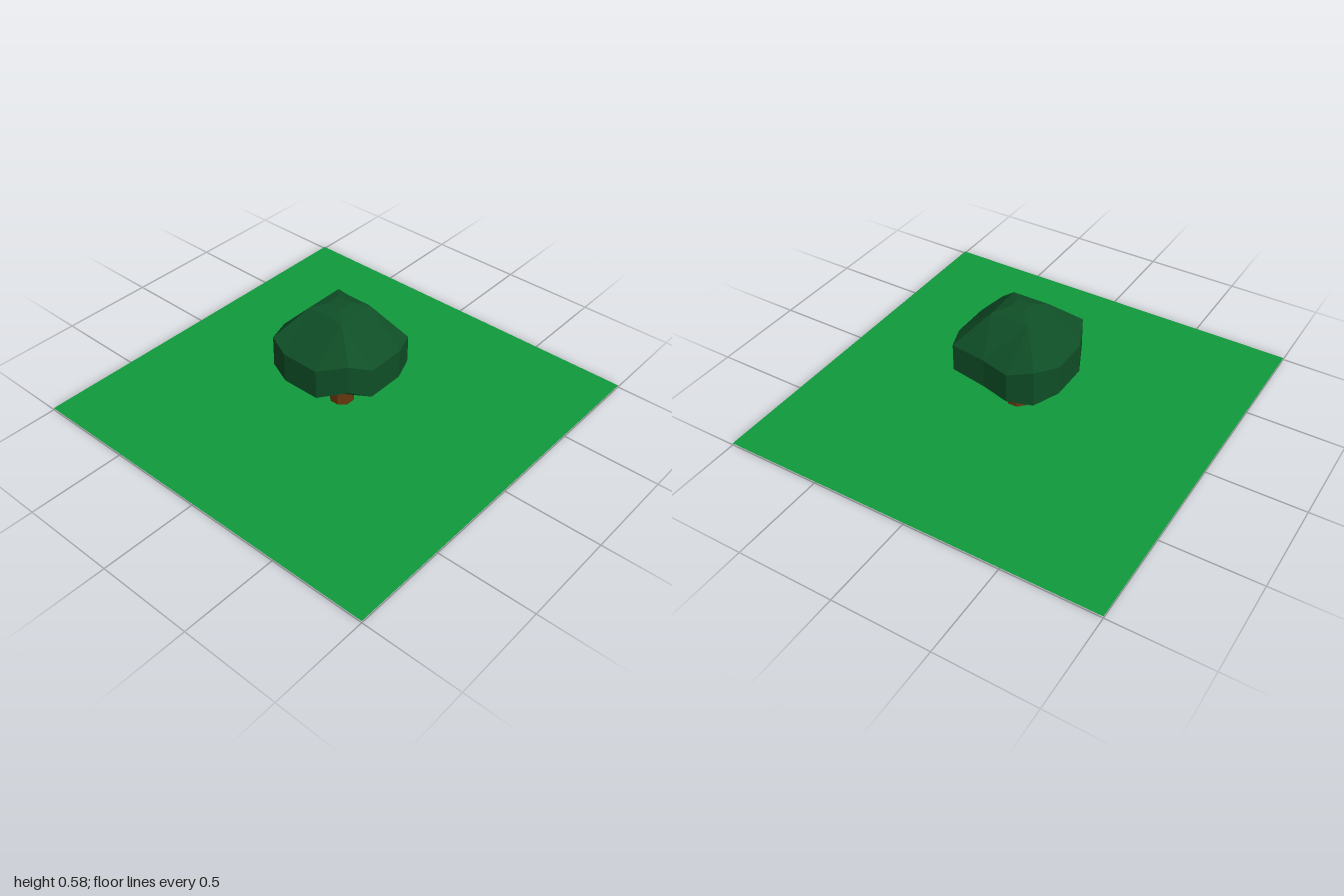
import * as THREE from 'three';

// Flat-sided skin through a stack of loops (listed bottom to top, counter-clockwise from above)
function skin(loops, capTop) {
  const pos = [];
  const tri = (...pts) => {
    const [a, b, c] = pts.map((p) => new THREE.Vector3(...p));
    const area = b.clone().sub(a).cross(c.clone().sub(a)).length();
    if (area > 1e-7) pts.forEach((p) => pos.push(...p));
  };
  for (let k = 0; k < loops.length - 1; k++) {
    const lo = loops[k], hi = loops[k + 1], n = lo.length;
    for (let i = 0; i < n; i++) {
      const j = (i + 1) % n;
      tri(lo[i], lo[j], hi[j]);
      tri(lo[i], hi[j], hi[i]);
    }
  }
  if (capTop) {
    const top = loops[loops.length - 1];
    for (let i = 1; i < top.length - 1; i++) tri(top[0], top[i], top[i + 1]);
  }
  const geometry = new THREE.BufferGeometry();
  geometry.setAttribute('position', new THREE.Float32BufferAttribute(pos, 3));
  geometry.computeVertexNormals();
  return geometry;
}

export function createModel() {
  const material = (name, color) => new THREE.MeshStandardMaterial({ name, color });
  const grass = material('grass green', 0x0f9a3c);
  const leaf = material('leaf green', 0x0f4f27);
  const bark = material('bark brown', 0x69390f);
  grass.side = bark.side = THREE.DoubleSide;

  const model = new THREE.Group();
  const add = (name, geometry, mat) => {
    const mesh = new THREE.Mesh(geometry, mat);
    mesh.name = name;
    model.add(mesh);
    return mesh;
  };

  // Thin square lawn
  add('lawn', new THREE.PlaneGeometry(2, 2).rotateX(-Math.PI / 2), grass).position.y = 0.01;

  // Open eight-sided trunk, slightly narrower at the foot
  const trunk = new THREE.CylinderGeometry(0.068, 0.063, 0.13, 8, 1, true).toNonIndexed();
  trunk.rotateY(Math.PI / 8);
  trunk.computeVertexNormals();
  add('trunk', trunk, bark).position.set(0.006, 0.065, 0.01);

  // Widest outline of the canopy: x, z, lower height, upper height
  const outline = [
    [-0.1, 0.29, 0.23, 0.385], [0.1, 0.29, 0.23, 0.385], [0.215, 0.25, 0.24, 0.385],
    [0.24, 0.06, 0.23, 0.385], [0.28, -0.09, 0.23, 0.385], [0.25, -0.22, 0.24, 0.43],
    [0.1, -0.27, 0.23, 0.385], [-0.1, -0.27, 0.23, 0.385], [-0.25, -0.2, 0.26, 0.42],
    [-0.28, -0.1, 0.23, 0.385], [-0.28, 0.1, 0.23, 0.385], [-0.2, 0.23, 0.28, 0.43],
  ];
  // Square loop whose corners each meet three outline points
  const square = (half, y) => outline.map(([x, z]) => [Math.sign(x) * half, y, Math.sign(z) * half]);
  // The point just ahead of the right side's middle belongs to the front corner
  const neck = outline.map(([x, z]) => {
    const r = 0.075 / Math.hypot(x, z);
    return [x * r, 0.09, z * r];
  });
  const underside = neck.map(() => [0, 0.09, 0]);
  const canopy = skin([
    underside,
    neck,
    outline.map(([x, z, lower]) => [x, lower, z]),
    outline.map(([x, z, , upper]) => [x, upper, z]),
    square(0.1, 0.56),
    square(0.04, 0.58),
  ], true);
  add('canopy', canopy, leaf);

  return model;
}
